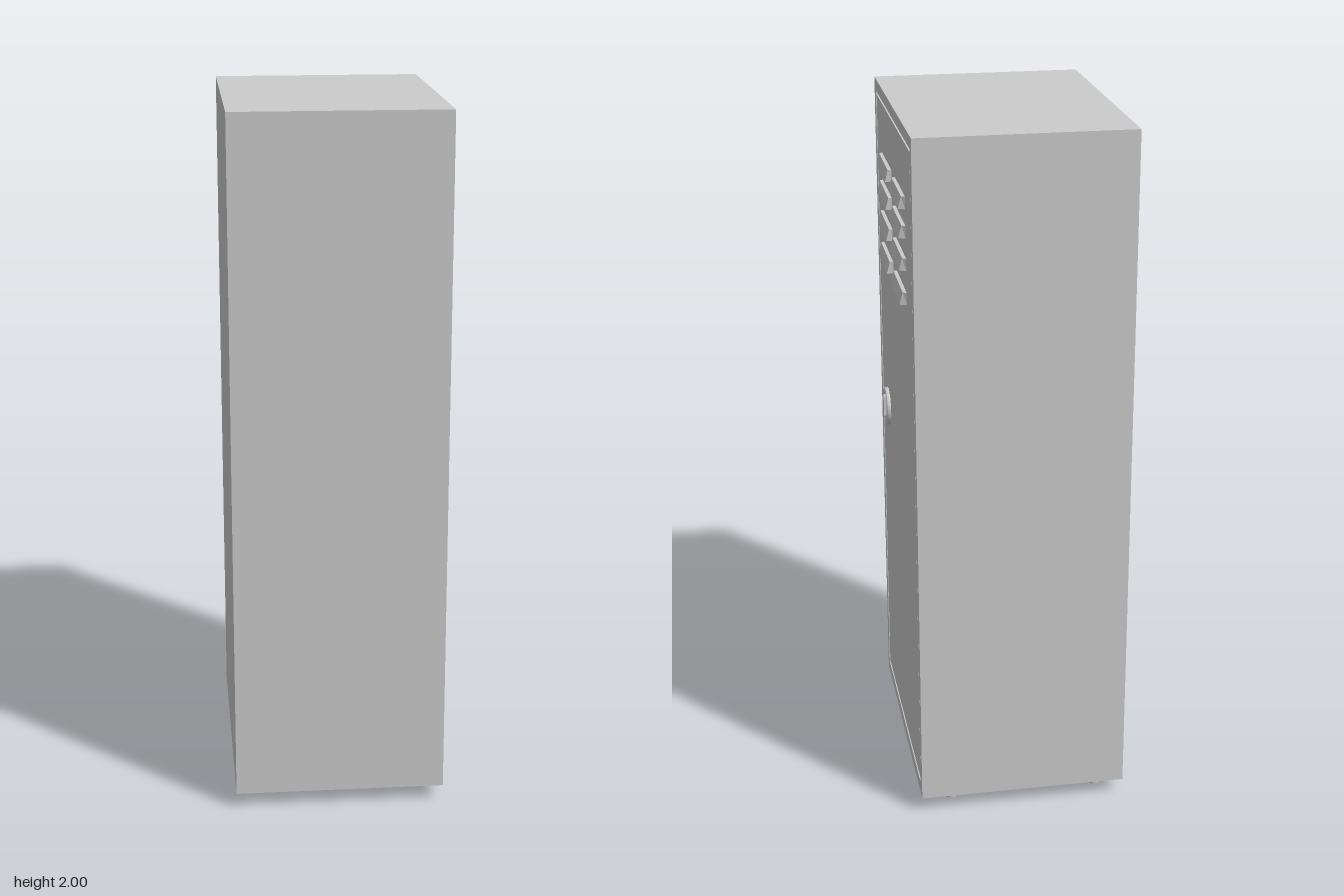
import * as THREE from 'three';

const grey = new THREE.MeshStandardMaterial({ color: 0xcccccc, side: THREE.DoubleSide });

function add(parent, name, geometry, x = 0, y = 0, z = 0) {
  const mesh = new THREE.Mesh(geometry, grey);
  mesh.name = name;
  mesh.position.set(x, y, z);
  parent.add(mesh);
  return mesh;
}

function polygon(points) {
  return new THREE.Shape(points.map(([x, y]) => new THREE.Vector2(x, y)));
}

// Rectangle in the door plane: half width w, from y0 to y1
function rect(w, y0, y1) {
  return [[-w, y0], [w, y0], [w, y1], [-w, y1]];
}

// Hood open at the bottom, with closed ends; its outer end is chamfered
function louver(width, side) {
  const group = new THREE.Group();
  group.name = 'louver';
  const h = 0.034;
  const t = 0.003;
  const hood = polygon([[0, h], [0.01, h], [0.019, 0], [0.019 - t, 0], [0.01 - t, h - t], [0, h - t]]);
  add(group, 'louverHood', new THREE.ExtrudeGeometry(hood, { depth: width - 0.012, bevelEnabled: false }),
    0, 0, -(width - 0.012) / 2 - side * 0.004);
  const cap = polygon([[0, 0], [0.019, 0], [0.01, h], [0, h]]);
  for (const end of [-1, 1]) {
    const depth = end === side ? 0.01 : 0.002;
    const geometry = new THREE.ExtrudeGeometry(cap, { depth, bevelEnabled: false });
    // Pull the projecting edge of the cap inwards
    const p = geometry.attributes.position;
    for (let i = 0; i < p.count; i++) {
      const outer = end > 0 ? p.getZ(i) > depth / 2 : p.getZ(i) < depth / 2;
      if (outer && p.getX(i) > 0.001) p.setZ(i, p.getZ(i) - end * depth * 0.8);
    }
    geometry.computeVertexNormals();
    add(group, 'louverEnd', geometry, 0, 0, end > 0 ? width / 2 - depth : -width / 2);
  }
  return group;
}

export function createModel() {
  const model = new THREE.Group();
  model.name = 'locker';

  // Cabinet with a shallow front frame around the door
  add(model, 'cabinet', new THREE.BoxGeometry(0.58, 1.955, 0.8), -0.02, 1.0225, 0);
  const frame = polygon(rect(0.4, 0.045, 2));
  frame.holes.push(new THREE.Path(polygon(rect(0.369, 0.08, 1.966)).getPoints().reverse()));
  const frameMesh = add(model, 'doorFrame', new THREE.ExtrudeGeometry(frame, { depth: 0.02, bevelEnabled: false }), 0.27);
  frameMesh.rotation.y = Math.PI / 2;

  // Door panel, separated from the frame by a narrow groove
  add(model, 'door', new THREE.BoxGeometry(0.019, 1.866, 0.72), 0.2795, 1.023, 0);

  // Two columns of ventilation louvers
  for (const side of [-1, 1]) {
    for (const y of [1.776, 1.696, 1.606, 1.51]) {
      const vent = louver(0.212, side);
      vent.position.set(0.289, y, side * 0.146);
      model.add(vent);
    }
  }

  // Round latch with a dished face and a small turning grip
  const latch = new THREE.Group();
  latch.name = 'latch';
  latch.position.set(0.289, 1.035, 0.232);
  model.add(latch);
  const profile = [[0.057, 0], [0.057, 0.009], [0.053, 0.012], [0.048, 0.012], [0.042, 0.009], [0, 0.008]];
  const disc = add(latch, 'latchDisc', new THREE.LatheGeometry(profile.map(([r, y]) => new THREE.Vector2(r, y)), 40));
  disc.rotation.z = -Math.PI / 2;
  add(latch, 'latchGrip', new THREE.BoxGeometry(0.012, 0.06, 0.012), 0.01, 0, 0);
  const hub = add(latch, 'latchHub', new THREE.CylinderGeometry(0.014, 0.014, 0.012, 20), 0.009, 0.02, 0.008);
  hub.rotation.z = Math.PI / 2;

  // Four tapered feet
  for (const x of [-0.24, 0.194]) {
    for (const z of [-0.326, 0.278]) {
      add(model, 'foot', new THREE.CylinderGeometry(0.02, 0.016, 0.046, 20), x, 0.023, z);
    }
  }
  return model;
}
